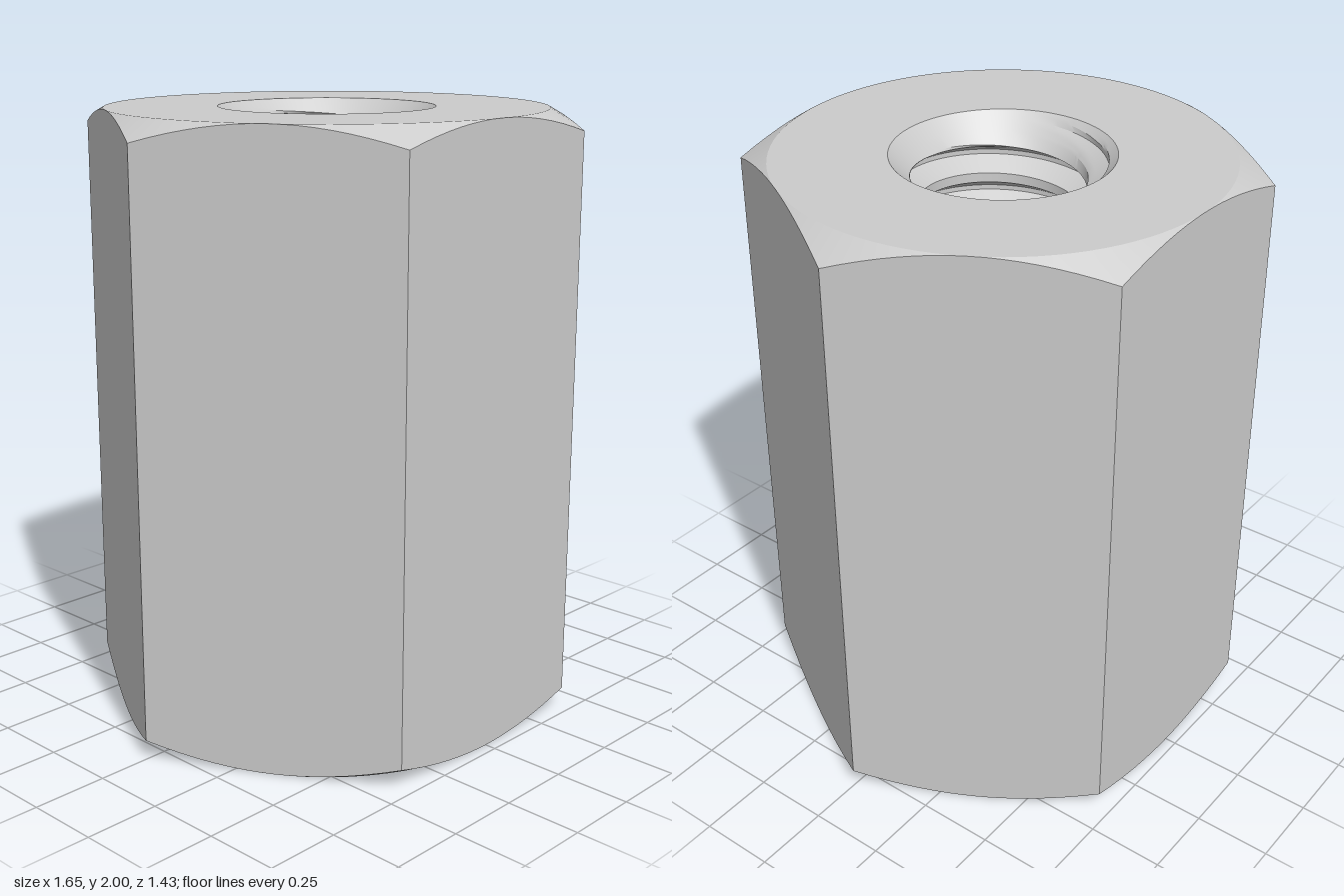
import * as THREE from 'three';
import { toCreasedNormals } from 'three/addons/utils/BufferGeometryUtils.js';

const HEIGHT = 2, APOTHEM = 0.713, SEGMENTS = 96;
const MINOR = 0.258, MAJOR = 0.325, SINK = 0.35, PITCH = 0.125;

// Surface from rows of points swept round the y axis; point(row, angle) returns [radius, y].
function sweep(rows, point) {
  const at = (row, col) => {
    const angle = (col / SEGMENTS) * Math.PI * 2;
    const [r, y] = point(row, angle);
    return new THREE.Vector3(r * Math.cos(angle), y, r * Math.sin(angle));
  };
  const positions = [];
  const addTriangle = (a, b, c) => {
    const area = b.clone().sub(a).cross(c.clone().sub(a)).length();
    if (area > 1e-8) positions.push(...a, ...b, ...c);
  };
  for (let row = 0; row < rows - 1; row++) {
    for (let col = 0; col < SEGMENTS; col++) {
      const a = at(row, col), b = at(row, col + 1);
      const c = at(row + 1, col), d = at(row + 1, col + 1);
      addTriangle(a, b, c);
      addTriangle(b, d, c);
    }
  }
  const geometry = new THREE.BufferGeometry();
  geometry.setAttribute('position', new THREE.Float32BufferAttribute(positions, 3));
  return toCreasedNormals(geometry, 0.4);
}

// Hexagonal outside: flat ring, conical corner chamfer, wall, and the same below.
function hexBody() {
  return sweep(6, (row, angle) => {
    const sector = Math.PI / 3;
    const offset = (angle % sector) - sector / 2;
    const hexRadius = APOTHEM / Math.cos(offset);
    const drop = (hexRadius - APOTHEM) * Math.tan(Math.PI / 6);
    const half = [[SINK, 0], [APOTHEM, 0], [hexRadius, drop]];
    const [r, inset] = half[row < 3 ? row : 5 - row];
    return [r, row < 3 ? HEIGHT - inset : inset];
  });
}

// Right-hand internal thread, opened out by a 45 degree countersink at both ends.
function threadedBore() {
  // Radius against fraction of the pitch: crest, flank, root, flank.
  const fractions = [0, 0.25];
  for (let i = 1; i <= 5; i++) fractions.push(0.25 + (0.3125 * i) / 5);
  for (let i = 0; i < 5; i++) fractions.push(0.6875 + (0.3125 * i) / 5);
  const profile = (f) => {
    const depth = Math.min((f - 0.25) / 0.3125, (1 - f) / 0.3125, 1);
    return THREE.MathUtils.lerp(MINOR, MAJOR, Math.max(depth, 0));
  };
  const turns = Math.ceil(HEIGHT / PITCH) + 3;
  const steps = fractions.length;
  return sweep(turns * steps + 1, (row, angle) => {
    const f = fractions[row % steps];
    const turn = Math.floor(row / steps) - 1 + f - angle / (Math.PI * 2);
    const y = THREE.MathUtils.clamp(turn * PITCH - 0.04, 0, HEIGHT);
    const countersink = SINK - Math.min(y, HEIGHT - y);
    return [Math.max(profile(f), countersink), y];
  });
}

export function createModel() {
  const group = new THREE.Group();
  group.name = 'couplingNut';
  const material = new THREE.MeshStandardMaterial({ color: 0xcccccc });
  const parts = { hexBody: hexBody(), threadedBore: threadedBore() };
  for (const [name, geometry] of Object.entries(parts)) {
    const mesh = new THREE.Mesh(geometry, material);
    mesh.name = name;
    group.add(mesh);
  }
  return group;
}
